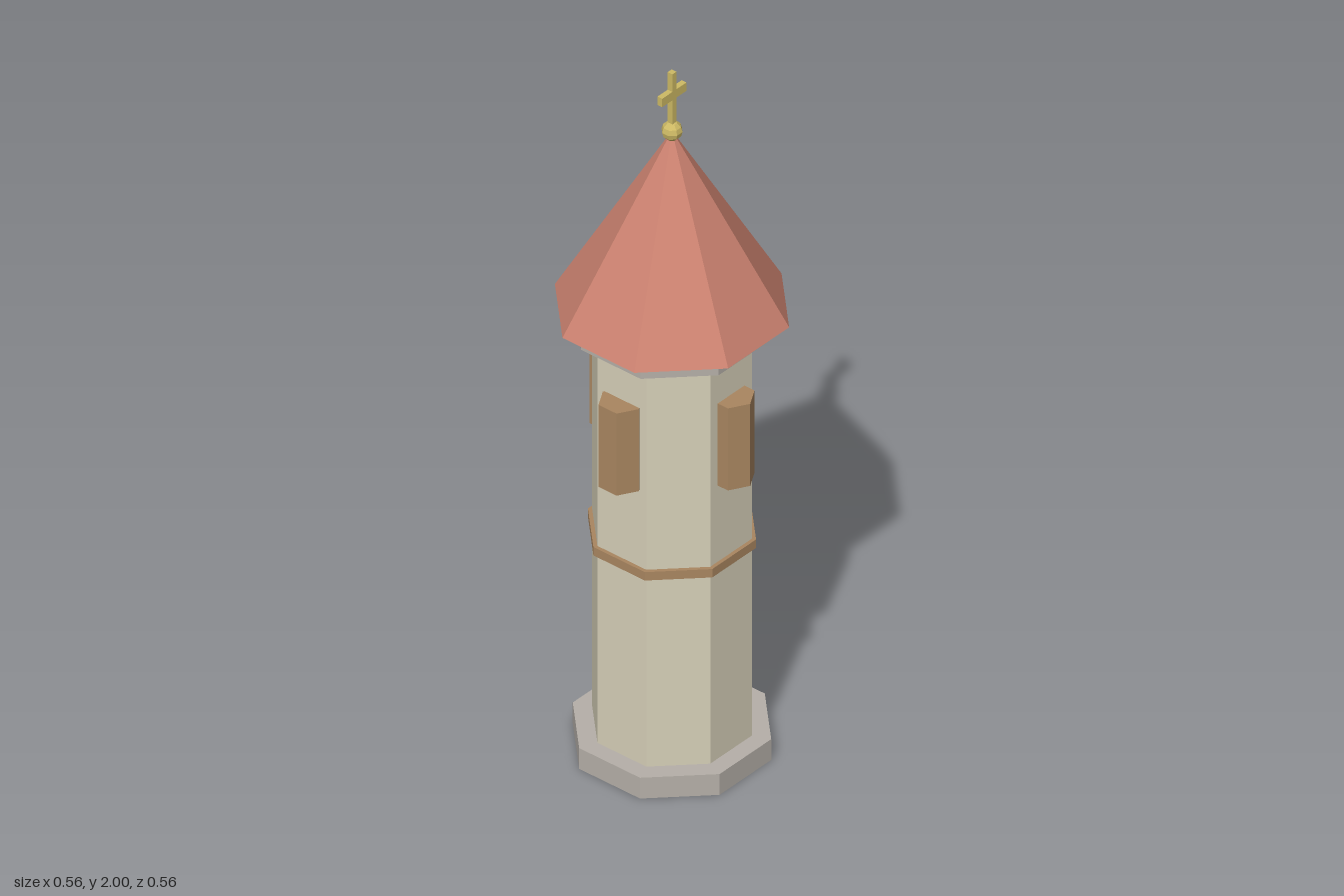
import * as THREE from 'three';

const material = (color) => new THREE.MeshStandardMaterial({ color, flatShading: true });

export function createModel() {
  const tower = new THREE.Group();
  tower.name = 'tower';

  const stone = material(0xb5afa8);
  const plaster = material(0xd6cfb8);
  const wood = material(0xa98660);
  const tile = material(0xcc8270);
  const gold = material(0xcdb964);

  const add = (name, geometry, mat, x, y, z) => {
    const mesh = new THREE.Mesh(geometry, mat);
    mesh.name = name;
    mesh.position.set(x, y, z);
    tower.add(mesh);
    return mesh;
  };

  // Eight-sided section with flat sides facing the axes, from y0 to y1
  const octagon = (name, bottom, top, y0, y1, mat) => {
    const geometry = new THREE.CylinderGeometry(top, bottom, y1 - y0, 8);
    geometry.rotateY(Math.PI / 8);
    return add(name, geometry, mat, 0, (y0 + y1) / 2, 0);
  };

  // Body
  octagon('base', 0.255, 0.255, 0, 0.062, stone);
  octagon('shaft', 0.205, 0.205, 0.062, 1.25, plaster);
  octagon('beltCourse', 0.216, 0.216, 0.625, 0.65, wood);
  octagon('cornice', 0.25, 0.25, 1.25, 1.302, stone);
  octagon('roof', 0.301, 0, 1.302, 1.825, tile);

  // Hexagonal shutters, one on each main side
  const shutter = new THREE.CylinderGeometry(0.058, 0.058, 0.245, 6);
  const sides = [['front', 0, 1], ['back', 0, -1], ['left', 1, 0], ['right', -1, 0]];
  for (const [side, x, z] of sides) {
    add(side + 'Window', shutter, wood, x * 0.193, 1, z * 0.193);
  }

  // Finial
  const ball = new THREE.SphereGeometry(0.027, 8, 6);
  ball.rotateY(Math.PI / 8);
  add('finialBall', ball, gold, 0, 1.826, 0);
  add('crossPost', new THREE.BoxGeometry(0.015, 0.16, 0.015), gold, 0, 1.92, 0);
  add('crossBar', new THREE.BoxGeometry(0.092, 0.025, 0.015), gold, 0, 1.935, 0);

  return tower;
}
